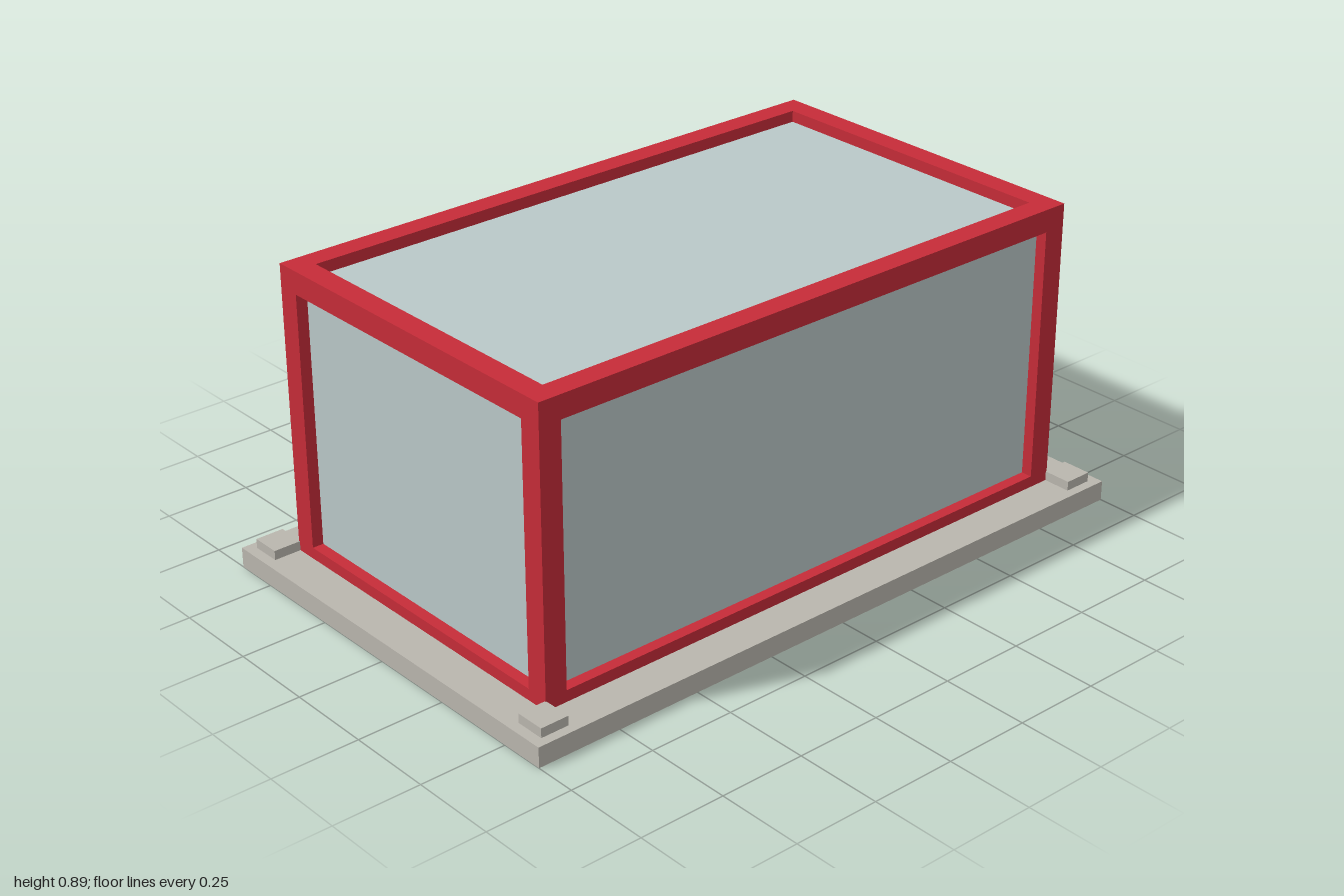
import * as THREE from 'three';

export function createModel() {
  const model = new THREE.Group();
  model.name = 'displayCase';

  const makeMaterial = (name, color) => {
    const material = new THREE.MeshStandardMaterial({ color });
    material.name = name;
    return material;
  };
  const stone = makeMaterial('warm grey stone', 0xbab6ae);
  const red = makeMaterial('red frame', 0xc62c38);
  const glass = makeMaterial('pale glass', 0xbac8c8);

  // Box given by its lower and upper limits on each axis
  const box = (name, material, [x0, x1], [y0, y1], [z0, z1], parent = model) => {
    const mesh = new THREE.Mesh(new THREE.BoxGeometry(x1 - x0, y1 - y0, z1 - z0), material);
    mesh.position.set((x0 + x1) / 2, (y0 + y1) / 2, (z0 + z1) / 2);
    mesh.name = name;
    parent.add(mesh);
  };
  // Range on the positive or negative side of an axis
  const side = (s, a, b) => (s > 0 ? [a, b] : [-b, -a]);

  const X = 0.89, Z = 0.521; // frame half sizes
  const floor = 0.058, top = 0.887;
  const bar = 0.065, sill = 0.033, inset = 0.033;

  // Base slab
  box('baseSlab', stone, [-1, 1], [0, floor], [-0.63, 0.63]);

  // Glass body, set back behind the face of the frame
  box('glassBody', glass, [-X + inset, X - inset], [floor, top - inset], [-Z + inset, Z - inset]);

  // Frame bars and corner pads
  const frame = new THREE.Group();
  frame.name = 'frame';
  model.add(frame);
  for (const s of [-1, 1]) {
    const innerX = [-X + bar, X - bar];
    const innerZ = [-Z + bar, Z - bar];
    box('longTopRail', red, innerX, [top - bar, top], side(s, Z - bar, Z), frame);
    box('longSill', red, innerX, [floor, floor + sill], side(s, Z - bar, Z), frame);
    box('shortTopRail', red, side(s, X - bar, X), [top - bar, top], innerZ, frame);
    box('shortSill', red, side(s, X - bar, X), [floor, floor + sill], innerZ, frame);
    for (const t of [-1, 1]) {
      box('cornerPost', red, side(s, X - bar, X), [floor, top], side(t, Z - bar, Z), frame);
      box('cornerPad', stone, side(s, 0.887, 0.97), [floor, 0.085], side(t, 0.517, 0.603));
    }
  }
  return model;
}
